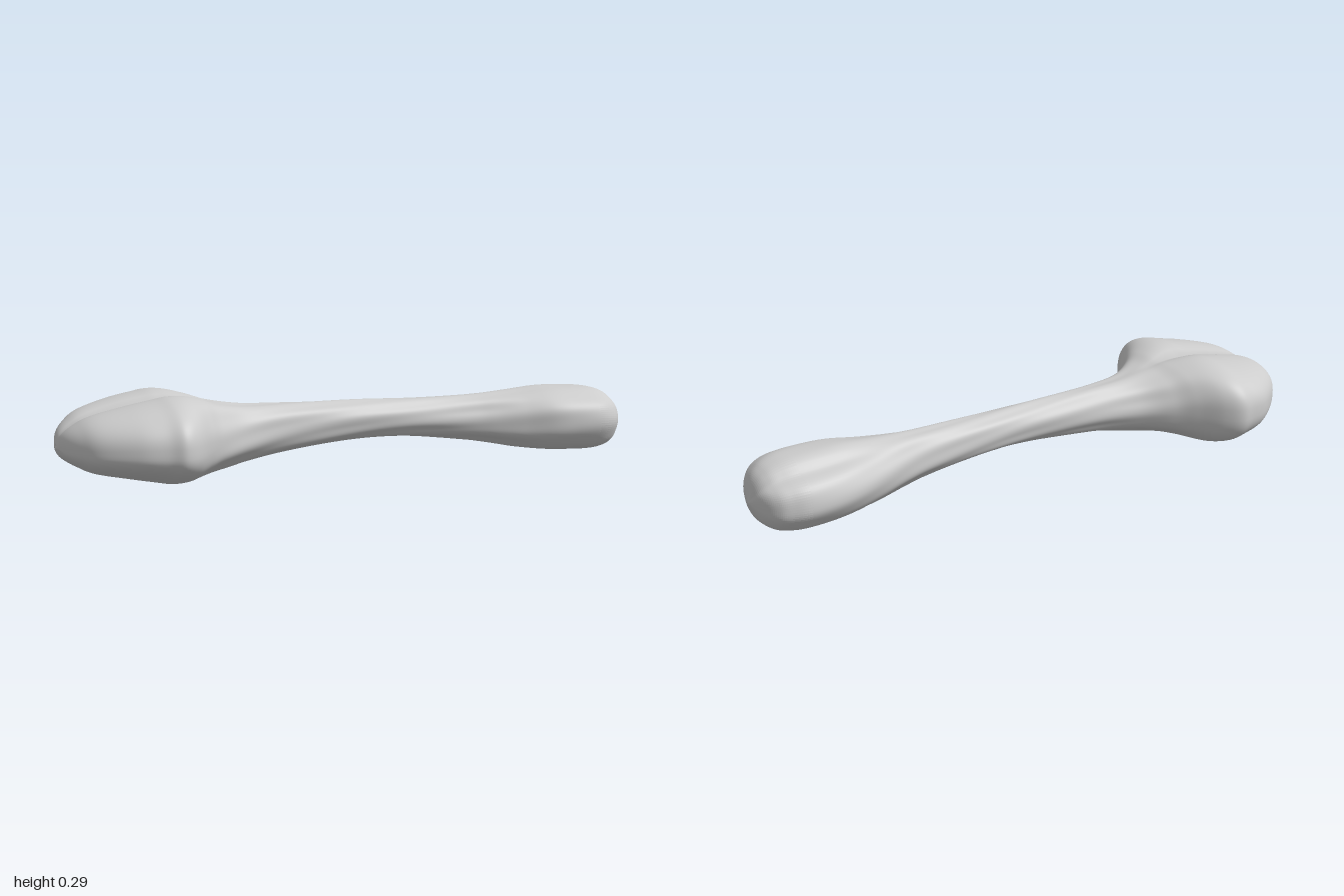
import * as THREE from 'three';

// Stations along the bone: x, bottom y, top y, back z, front z
const STATIONS = [
  [-1, 0.15, 0.15, 0, 0],
  [-0.985, 0.105, 0.2, -0.095, 0.095],
  [-0.95, 0.075, 0.235, -0.17, 0.17],
  [-0.9, 0.05, 0.262, -0.235, 0.23],
  [-0.8, 0.028, 0.287, -0.31, 0.292],
  [-0.72, 0.012, 0.303, -0.332, 0.317],
  [-0.67, 0.004, 0.312, -0.335, 0.333],
  [-0.62, 0.008, 0.311, -0.3, 0.305],
  [-0.56, 0.025, 0.298, -0.23, 0.23],
  [-0.5, 0.042, 0.276, -0.17, 0.165],
  [-0.4, 0.063, 0.256, -0.105, 0.1],
  [-0.25, 0.09, 0.25, -0.073, 0.07],
  [0, 0.115, 0.246, -0.064, 0.062],
  [0.2, 0.112, 0.242, -0.063, 0.062],
  [0.4, 0.09, 0.243, -0.068, 0.07],
  [0.5, 0.072, 0.247, -0.08, 0.087],
  [0.6, 0.05, 0.253, -0.103, 0.122],
  [0.7, 0.036, 0.261, -0.128, 0.166],
  [0.78, 0.031, 0.261, -0.138, 0.184],
  [0.86, 0.029, 0.257, -0.136, 0.19],
  [0.91, 0.033, 0.248, -0.122, 0.18],
  [0.95, 0.046, 0.23, -0.1, 0.153],
  [0.98, 0.075, 0.197, -0.053, 0.105],
  [1, 0.13, 0.13, 0.028, 0.028],
];
const CAP_START = 19;
const SIDES = 96;
const heights = new THREE.CatmullRomCurve3(STATIONS.map(s => new THREE.Vector3(s[0], s[1], s[2])), false, 'catmullrom');
const widths = new THREE.CatmullRomCurve3(STATIONS.map(s => new THREE.Vector3(s[0], s[3], s[4])), false, 'catmullrom');

// One point of the cross-section at curve parameter t and angle a
function surfacePoint(t, a) {
  const h = heights.getPoint(t), w = widths.getPoint(t), x = h.x;
  const head = 1 - THREE.MathUtils.smoothstep(x, -0.66, -0.42);
  const tail = THREE.MathUtils.smoothstep(x, 0.45, 0.8);
  const shaft = (1 - head) * (1 - tail);
  const power = 2 / (2.1 + 0.5 * head);
  const c = Math.cos(a), s = Math.sin(a);
  let u = Math.sign(c) * Math.abs(c) ** power;
  let v = Math.sign(s) * Math.abs(s) ** power;

  // Notch on the upper back of the narrow end, and soft grain on the shaft
  const notch = 1 - 0.14 * tail * Math.exp(-(((a - 2.2) / 0.25) ** 2));
  const grain = 1 + 0.018 * (shaft + 0.4 * tail) * (Math.sin(5 * a + 7 * x) + Math.sin(9 * a - 11 * x));
  u *= notch * grain;
  v *= notch * grain;

  const halfY = (h.z - h.y) / 2, halfZ = (w.z - w.y) / 2;
  const z = (w.y + w.z) / 2 + u * halfZ;
  let y = (h.y + h.z) / 2 + v * halfY;
  // Groove between the two lobes of the head
  const groove = head * Math.exp(-Math.abs(z) / 0.05) * halfY;
  y -= groove * (v > 0 ? 0.24 : -0.12) * Math.abs(v);
  // Lean of the lower side of the head, and of the narrow end
  if (v < 0) y += head * -v * Math.max(0, z + 0.2) * 0.08;
  y += tail * 0.05 * (z - 0.03) * (1 - Math.abs(v));
  return [x, y, z];
}

// Closed skin between two stations
function skin(from, to, rings) {
  const last = STATIONS.length - 1, pos = [], index = [];
  for (let i = 0; i <= rings; i++) {
    const t = (from + (to - from) * i / rings) / last;
    for (let j = 0; j < SIDES; j++) pos.push(...surfacePoint(t, j / SIDES * Math.PI * 2));
  }
  for (let i = 0; i < rings; i++) {
    for (let j = 0; j < SIDES; j++) {
      const a = i * SIDES + j, b = i * SIDES + (j + 1) % SIDES;
      index.push(a, a + SIDES, b, b, a + SIDES, b + SIDES);
    }
  }
  const geometry = new THREE.BufferGeometry();
  geometry.setAttribute('position', new THREE.Float32BufferAttribute(pos, 3));
  geometry.setIndex(index);
  geometry.computeVertexNormals();
  return geometry;
}

export function createModel() {
  const group = new THREE.Group();
  group.name = 'bone';
  const bone = new THREE.MeshStandardMaterial({ color: 0xcccccc });
  bone.name = 'pale grey bone';

  // Two-lobed head and shaft
  const body = new THREE.Mesh(skin(0, CAP_START, 152), bone);
  body.name = 'headAndShaft';
  // Rounded end cap, finely faceted
  const capGeometry = skin(CAP_START, STATIONS.length - 1, 32).toNonIndexed();
  capGeometry.computeVertexNormals();
  const cap = new THREE.Mesh(capGeometry, bone);
  cap.name = 'endCap';

  group.add(body, cap);
  return group;
}
